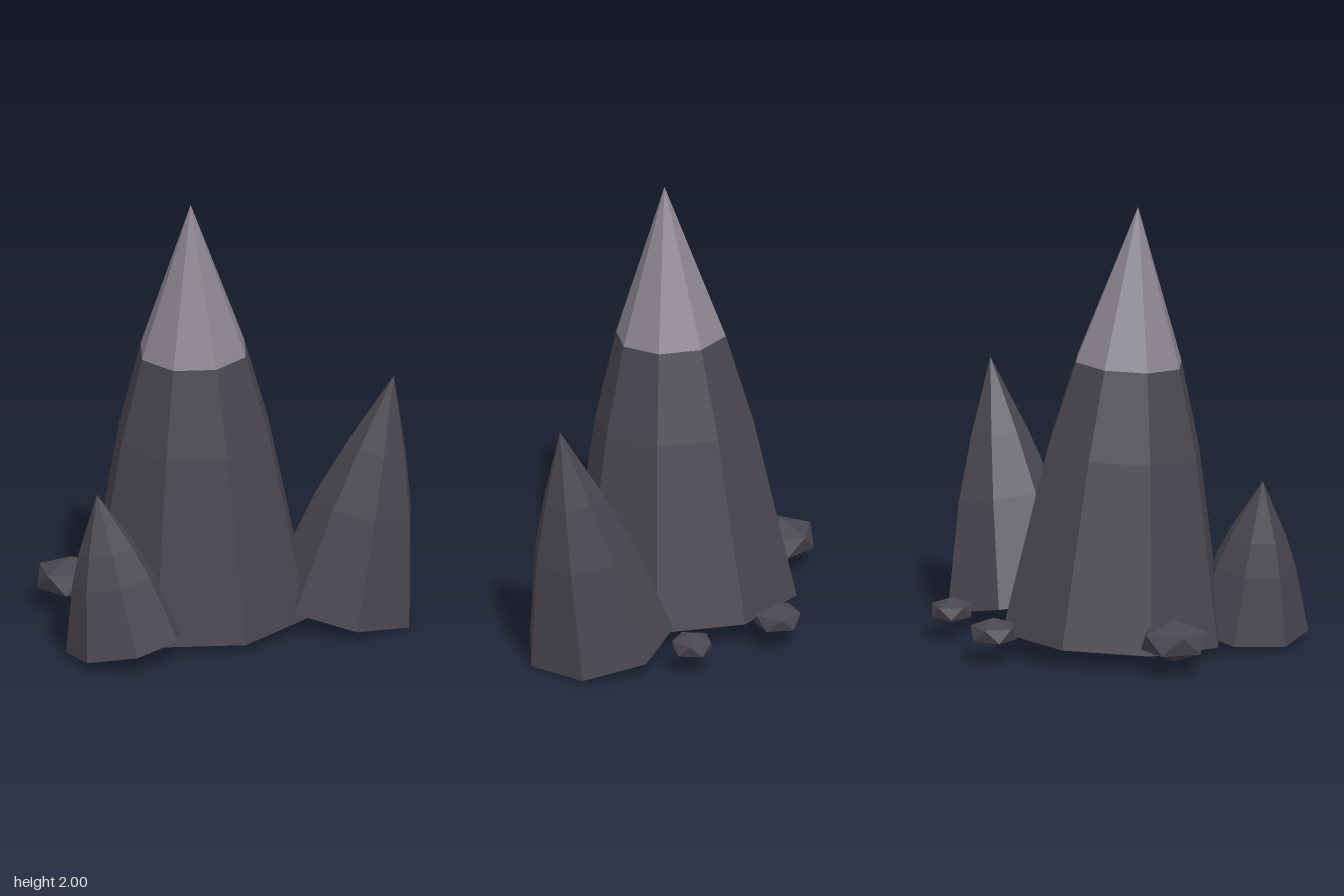
import * as THREE from 'three';

// Spires are open shells underneath, so their stone is double-sided
const shell = { flatShading: true, side: THREE.DoubleSide };
const stone = new THREE.MeshStandardMaterial({ color: 0x4a4650, ...shell });
const paleStone = new THREE.MeshStandardMaterial({ color: 0x8a8490, ...shell });

// Tapering profiles: [radius fraction, height fraction]
const FULL = [[1, 0], [0.69, 0.43], [0.48, 0.636], [0, 1]];
const SLIM = [[1, 0], [0.67, 0.44], [0.4, 0.69], [0, 1]];

// Faceted spire leaning from its base centre towards its apex
function spire(name, base, apex, radius, sides, profile, paleTip) {
  const group = new THREE.Group();
  group.name = name;
  const from = new THREE.Vector3(...base);
  const axis = new THREE.Vector3(...apex).sub(from);
  const height = axis.length();

  const addPart = (partName, rows, material) => {
    const points = rows.map(([r, h]) => new THREE.Vector2(r * radius, h * height));
    const mesh = new THREE.Mesh(new THREE.LatheGeometry(points, sides, Math.PI / 2), material);
    mesh.name = partName;
    group.add(mesh);
  };
  addPart(name + 'Body', profile.slice(0, 3), stone);
  addPart(name + 'Tip', profile.slice(2), paleTip ? paleStone : stone);

  group.position.copy(from);
  group.quaternion.setFromUnitVectors(new THREE.Vector3(0, 1, 0), axis.normalize());
  return group;
}

// Flattened loose rock with one corner pointing up
function rock(name, position, radius, yaw) {
  const geometry = new THREE.IcosahedronGeometry(radius, 0);
  geometry.rotateZ(Math.atan(2 / (1 + Math.sqrt(5))));
  geometry.scale(1, 0.57, 1);
  const mesh = new THREE.Mesh(geometry, stone);
  mesh.name = name;
  mesh.position.set(...position);
  mesh.rotation.y = yaw;
  return mesh;
}

export function createModel() {
  const model = new THREE.Group();
  model.name = 'rockSpires';
  model.add(
    // Spires
    spire('mainSpire', [-0.09, 0.066, 0], [-0.17, 2, 0.1], 0.522, 8, FULL, true),
    spire('leftSpire', [0.505, 0.07, 0.252], [0.695, 1.155, 0.385], 0.339, 7, SLIM, false),
    spire('rightSpire', [-0.597, 0.07, 0.342], [-0.705, 0.76, 0.27], 0.27, 7, FULL, false),
    // Loose rocks behind
    rock('largeRock', [-0.56, 0.15, -0.345], 0.166, 0.4),
    rock('mediumRock', [0.253, 0.138, -0.51], 0.117, 1.0),
    rock('smallRock', [0.608, 0.132, -0.2], 0.103, 2.0),
  );
  return model;
}
